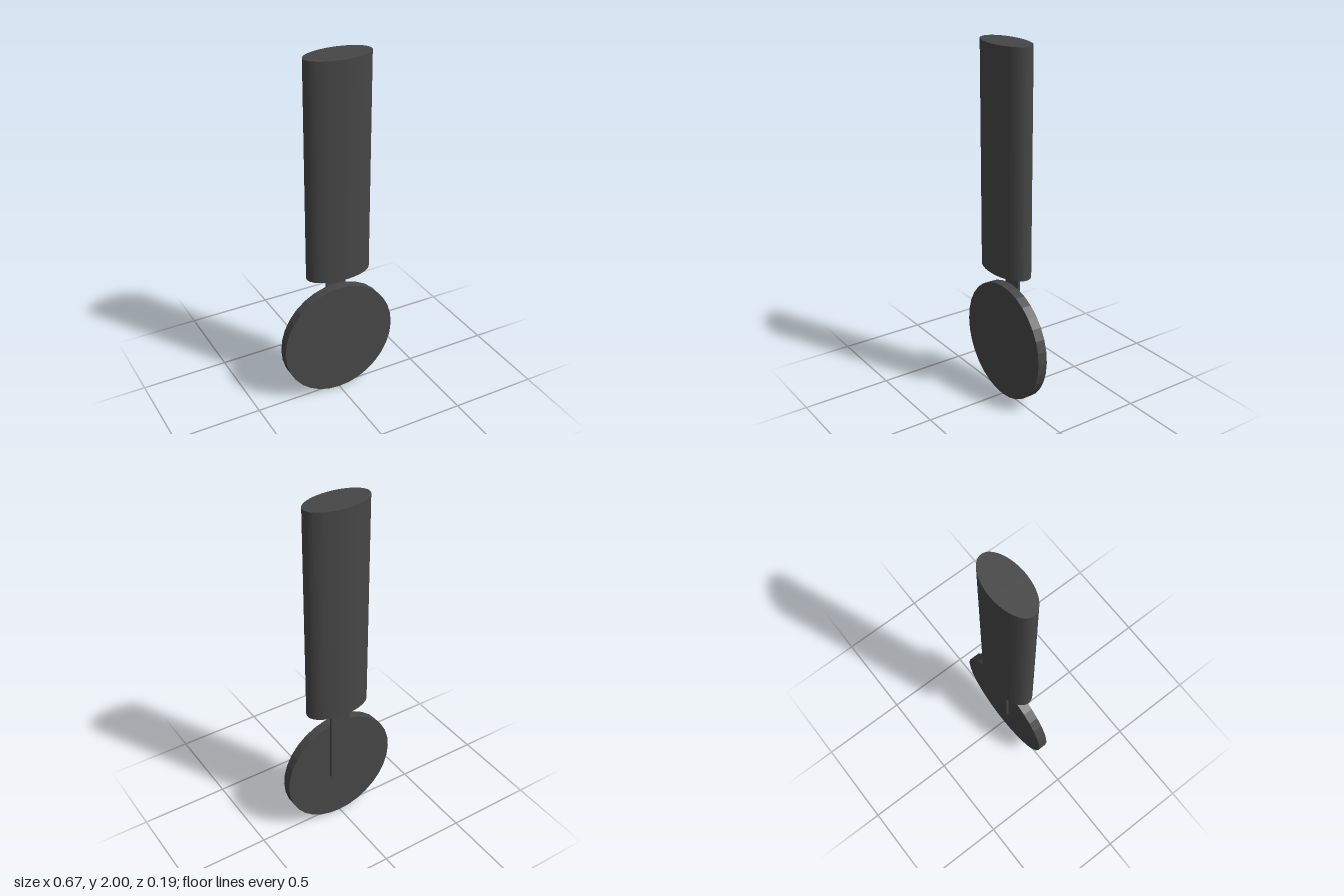
import * as THREE from 'three';

export function createModel() {
  const group = new THREE.Group();
  const charcoal = new THREE.MeshStandardMaterial({ color: 0x464646, flatShading: true });
  charcoal.name = 'charcoal';

  const add = (name, geometry, x, y, z) => {
    const mesh = new THREE.Mesh(geometry, charcoal);
    mesh.name = name;
    mesh.position.set(x, y, z);
    group.add(mesh);
  };

  // Oval handle: a cylinder squashed front to back
  const handle = new THREE.CylinderGeometry(1, 1, 1.23, 64);
  handle.scale(0.187, 1, 0.096);
  add('handle', handle, 0.002, 1.385, -0.001);

  // Round disc facing the front
  const disc = new THREE.CylinderGeometry(0.337, 0.337, 0.055, 32);
  disc.rotateX(Math.PI / 2);
  add('disc', disc, 0, 0.337, -0.003);

  // Thin strut from the handle down the back of the disc
  add('strut', new THREE.BoxGeometry(0.118, 0.475, 0.015), 0.009, 0.5375, -0.04);

  return group;
}
